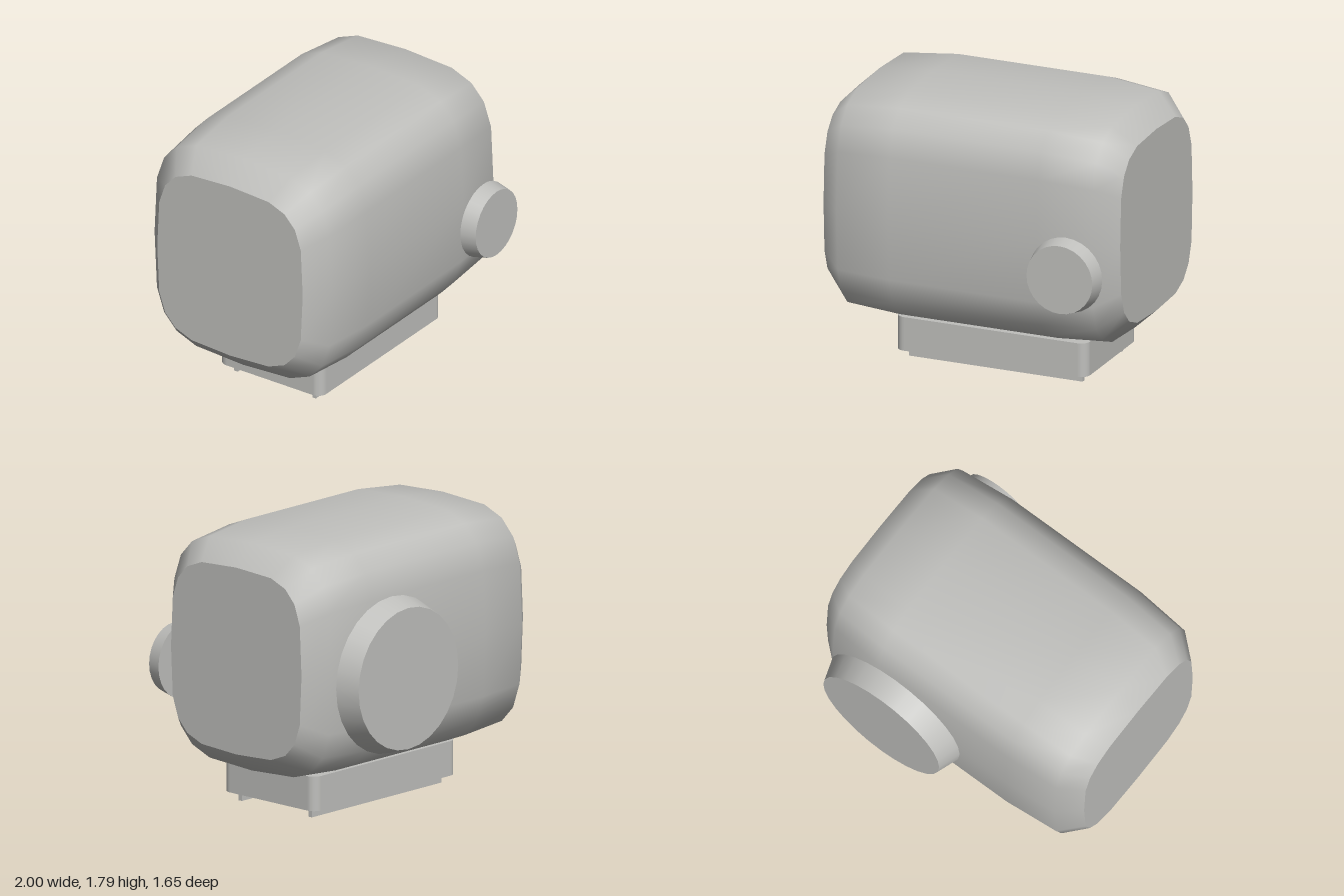
import * as THREE from 'three';

const grey = new THREE.MeshStandardMaterial({ color: 0xbfbfbc });
grey.name = 'warm grey';

// Lengthwise stations of the housing: x, centre y, half height, half depth
const STATIONS = [
  [-1, 1.025, 0.595, 0.55],
  [-0.86, 1.027, 0.725, 0.67],
  [-0.5, 1.035, 0.755, 0.7],
  [0.5, 1.035, 0.755, 0.7],
  [0.86, 1.027, 0.725, 0.67],
  [1, 1.025, 0.595, 0.55],
];
const SIDES = 20;
const AXIS_Z = 0.02;

// Point on a rounded-square section, going from the top towards the front
function sectionPoint([x, cy, h, d], j) {
  const t = (j / SIDES) * Math.PI * 2;
  const bulge = (v) => (Math.abs(v) < 1e-6 ? 0 : Math.sign(v) * Math.abs(v) ** 0.54);
  return [x, cy + h * bulge(Math.cos(t)), AXIS_Z + d * bulge(Math.sin(t))];
}

function loft() {
  const pos = [], index = [];
  STATIONS.forEach((s, i) => {
    for (let j = 0; j < SIDES; j++) {
      pos.push(...sectionPoint(s, j));
      if (i === STATIONS.length - 1) continue;
      const a = i * SIDES + j, b = i * SIDES + ((j + 1) % SIDES);
      index.push(a, b, a + SIDES, b, b + SIDES, a + SIDES);
    }
  });
  return finish(pos, index);
}

function endCap(station, side) {
  const pos = [station[0], station[1], AXIS_Z], index = [];
  for (let j = 0; j < SIDES; j++) {
    pos.push(...sectionPoint(station, j));
    const a = j + 1, b = ((j + 1) % SIDES) + 1;
    index.push(0, ...(side > 0 ? [a, b] : [b, a]));
  }
  return finish(pos, index);
}

function finish(pos, index) {
  const g = new THREE.BufferGeometry();
  g.setAttribute('position', new THREE.Float32BufferAttribute(pos, 3));
  g.setIndex(index);
  g.computeVertexNormals();
  return g;
}

// Tapered disc between two z depths, widest at the housing
function dial(rFront, rBack, zBack, zFront) {
  return new THREE.CylinderGeometry(rFront, rBack, zFront - zBack, 28)
    .rotateX(Math.PI / 2)
    .translate(0, 0, (zBack + zFront) / 2);
}

// Upright block with rounded vertical corners
function roundedBlock(w, d, r, height) {
  const x = w / 2, y = d / 2, s = new THREE.Shape();
  s.absarc(x - r, y - r, r, 0, Math.PI / 2);
  s.absarc(-x + r, y - r, r, Math.PI / 2, Math.PI);
  s.absarc(-x + r, -y + r, r, Math.PI, Math.PI * 1.5);
  s.absarc(x - r, -y + r, r, Math.PI * 1.5, Math.PI * 2);
  const g = new THREE.ExtrudeGeometry(s, { depth: height, bevelEnabled: false, curveSegments: 6 });
  return g.rotateX(-Math.PI / 2);
}

export function createModel() {
  const model = new THREE.Group();
  model.name = 'roundedDevice';
  const add = (name, geometry, x = 0, y = 0, z = 0) => {
    const mesh = new THREE.Mesh(geometry, grey);
    mesh.name = name;
    mesh.position.set(x, y, z);
    model.add(mesh);
  };

  // Barrel-shaped housing with flat ends
  add('housing', loft());
  add('rightEnd', endCap(STATIONS[0], -1));
  add('leftEnd', endCap(STATIONS[STATIONS.length - 1], 1));

  // Small front disc and large rear disc
  add('frontDisc', dial(0.222, 0.245, 0.725, 0.825), 0.703, 0.852);
  add('rearDisc', dial(0.498, 0.45, -0.825, -0.68), 0.35, 0.94);

  // Foot with two rails and a hexagonal peg underneath
  add('foot', roundedBlock(1.29, 0.774, 0.06, 0.22), 0.057, 0.073, 0.026);
  for (const z of [0.32, -0.27]) {
    add('rail', new THREE.BoxGeometry(1.17, 0.06, 0.027), 0.057, 0.045, z);
  }
  const peg = new THREE.CylinderGeometry(0.0665, 0.0665, 0.074, 6).toNonIndexed();
  peg.computeVertexNormals();
  add('hexPeg', peg, -0.353, 0.037, 0.024);

  return model;
}
